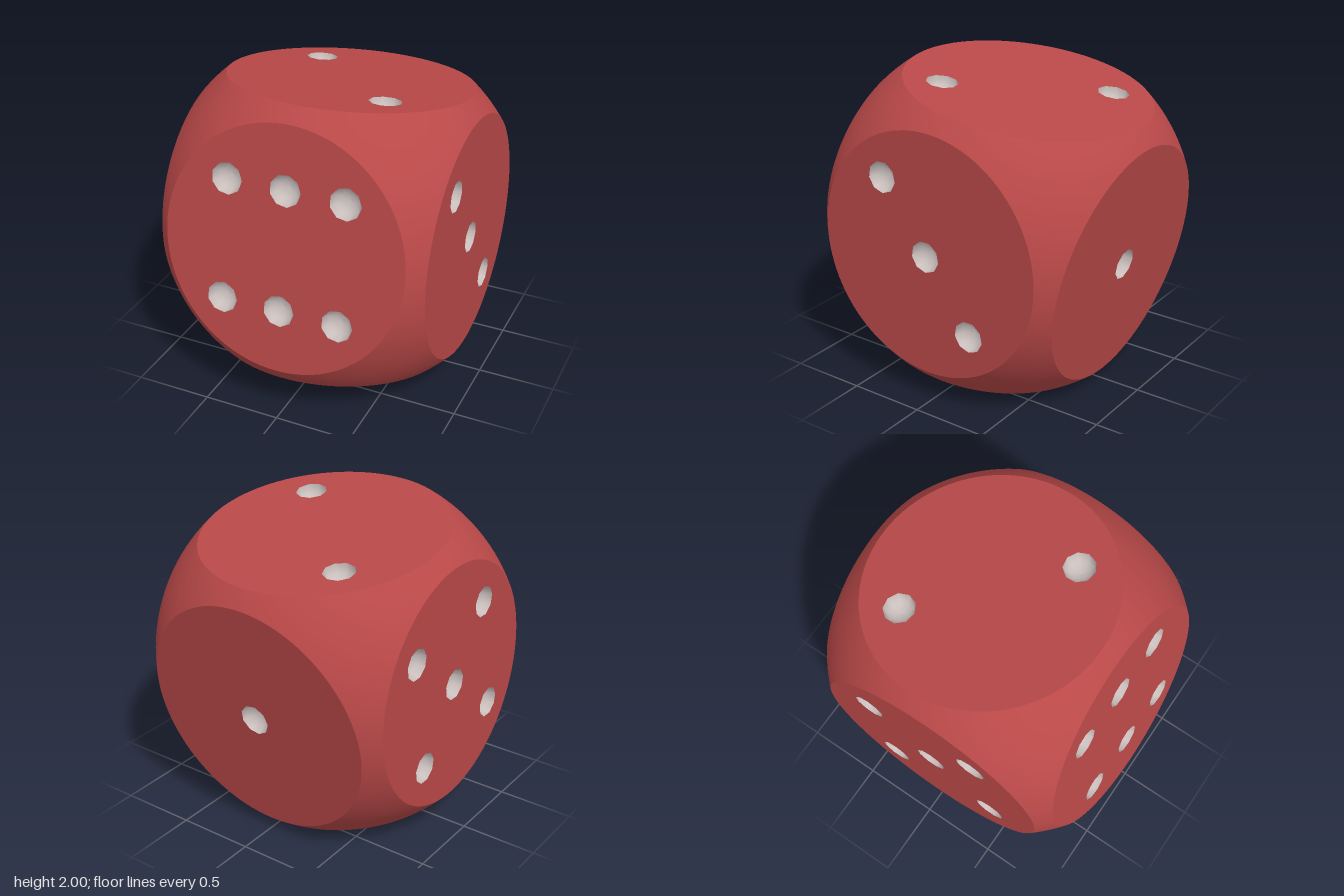
import * as THREE from 'three';

const H = 0.88;              // half width of the cube
const R = 1.18;              // radius of the sphere rounding the corners
const DISC = Math.sqrt(R * R - H * H);
const SEG = 96, PIP_R = 0.102, PIP_SIDES = 9, PIP_DEPTH = 0.085, P = 0.385;

// Flat round face with a hole for every pip
function faceGeometry(pips) {
  const ring = (r, n, cx = 0, cy = 0) => Array.from({ length: n }, (_, i) => {
    const a = (i / n) * Math.PI * 2;
    return new THREE.Vector2(cx + r * Math.cos(a), cy + r * Math.sin(a));
  });
  const shape = new THREE.Shape(ring(DISC, SEG));
  for (const [x, y] of pips) shape.holes.push(new THREE.Path(ring(PIP_R, PIP_SIDES, x, y).reverse()));
  return new THREE.ShapeGeometry(shape);
}

// Spherical surround from the round face out to the cube's diagonal planes
function surroundGeometry() {
  const rows = 8, pos = [], nor = [], idx = [];
  const t0 = Math.atan2(DISC, H);
  for (let j = 0; j <= rows; j++) {
    for (let i = 0; i <= SEG; i++) {
      const a = (i / SEG) * Math.PI * 2;
      const t1 = Math.atan(1 / Math.max(Math.abs(Math.cos(a)), Math.abs(Math.sin(a))));
      const t = t0 + (t1 - t0) * (j / rows);
      const n = [Math.sin(t) * Math.cos(a), Math.sin(t) * Math.sin(a), Math.cos(t)];
      nor.push(...n);
      pos.push(...n.map(v => v * R));
      if (i < SEG && j < rows) {
        const p = j * (SEG + 1) + i, q = p + SEG + 1;
        idx.push(p, q, p + 1, p + 1, q, q + 1);
      }
    }
  }
  const g = new THREE.BufferGeometry();
  g.setAttribute('position', new THREE.Float32BufferAttribute(pos, 3));
  g.setAttribute('normal', new THREE.Float32BufferAttribute(nor, 3));
  g.setIndex(idx);
  return g;
}

// Hollow bowl, opening towards +z, rim at z = 0
function pipGeometry() {
  const profile = [];
  for (let i = 0; i <= 5; i++) {
    const a = (i / 5) * Math.PI / 2;
    profile.push(new THREE.Vector2(PIP_R * Math.sin(a), -PIP_DEPTH * Math.cos(a)));
  }
  // turned so the rim corners meet those of the face hole
  return new THREE.LatheGeometry(profile, PIP_SIDES).rotateX(Math.PI / 2).rotateZ(Math.PI / 2);
}

export function createModel() {
  const red = new THREE.MeshStandardMaterial({ color: 0xb94848 });
  red.name = 'red body';
  const grey = new THREE.MeshStandardMaterial({ color: 0xc9bfbd, side: THREE.DoubleSide });
  grey.name = 'pale grey pips';

  const corners = [[P, P], [-P, P], [P, -P], [-P, -P]];
  const diagonal = [[-P, P], [P, -P]];
  const q = Math.PI / 2;
  // name, rotation about x, rotation about y, pip positions
  const faces = [
    ['frontSix', 0, 0, [...corners, [0, P], [0, -P]]],
    ['backOne', 0, Math.PI, [[0, 0]]],
    ['leftThree', 0, q, [...diagonal, [0, 0]]],
    ['rightFive', 0, -q, [...corners, [0, 0]]],
    ['topTwo', -q, 0, diagonal],
    ['bottomFour', q, 0, corners],
  ];

  const die = new THREE.Group();
  die.name = 'die';
  const surround = surroundGeometry(), bowl = pipGeometry();
  for (const [name, rx, ry, pips] of faces) {
    const side = new THREE.Group();
    side.name = name;
    side.rotation.set(rx, ry, 0);
    const face = new THREE.Mesh(faceGeometry(pips), red);
    face.name = 'flatFace';
    face.position.z = H;
    const round = new THREE.Mesh(surround, red);
    round.name = 'roundedEdge';
    side.add(face, round);
    for (const [x, y] of pips) {
      const pip = new THREE.Mesh(bowl, grey);
      pip.name = 'pip';
      pip.position.set(x, y, H);
      side.add(pip);
    }
    die.add(side);
  }

  // The die leans back a little
  die.rotation.x = THREE.MathUtils.degToRad(-9.5);
  die.position.y = 1.0;
  const model = new THREE.Group();
  model.name = 'tiltedDie';
  model.add(die);
  return model;
}
